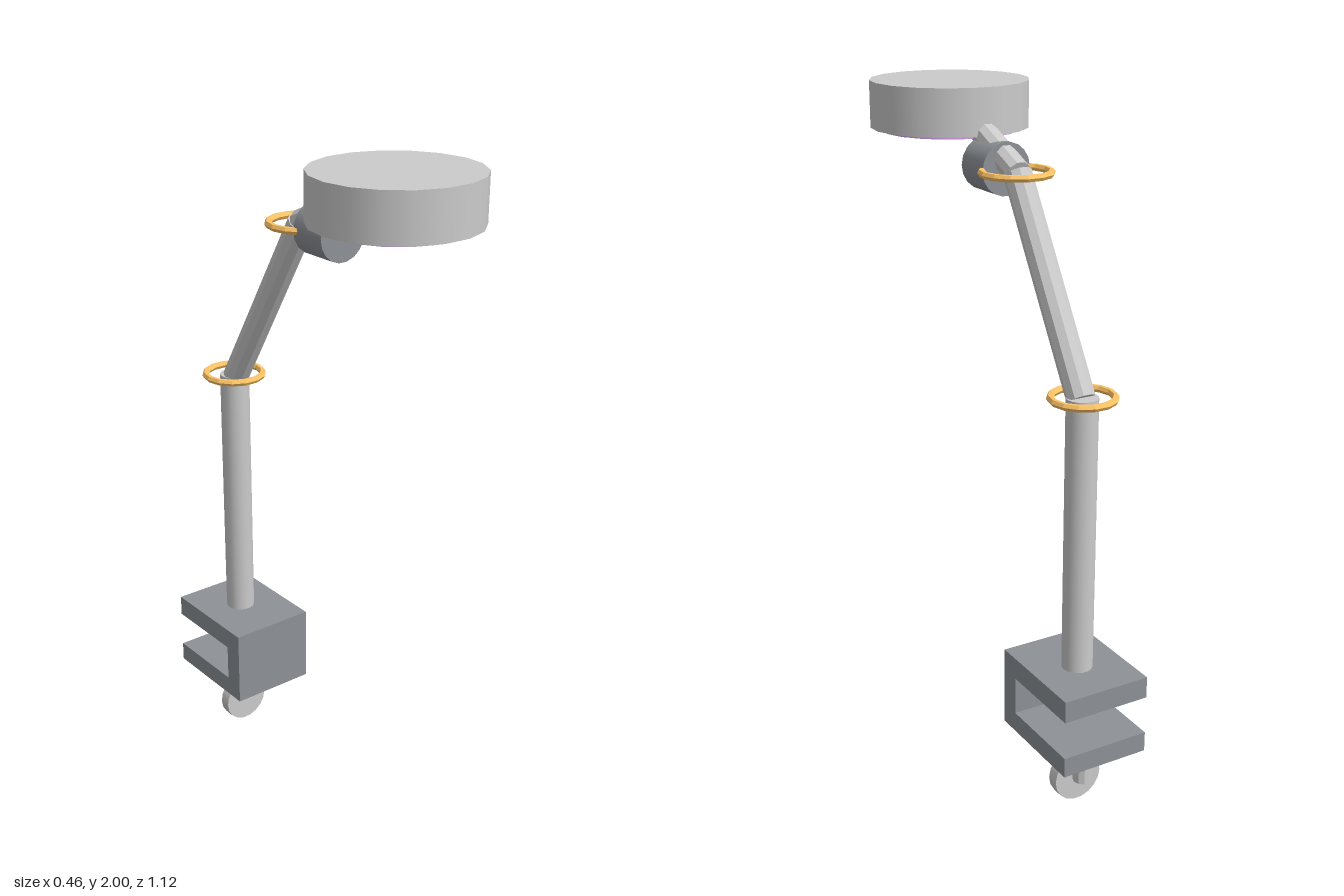
import * as THREE from 'three';

const mat = (color, flatShading = false) => new THREE.MeshStandardMaterial({ color, flatShading });
const grey = mat(0xcccccc);
const greyFlat = mat(0xcccccc, true);
const darkFlat = mat(0x8e9297, true);
const dark = mat(0x8e9297);
const gold = mat(0xffc566, true);
const violet = mat(0xd8a0f4);

export function createModel() {
  const lamp = new THREE.Group();
  lamp.name = 'clampLamp';

  const add = (name, geometry, material) => {
    const mesh = new THREE.Mesh(geometry, material);
    mesh.name = name;
    lamp.add(mesh);
    return mesh;
  };

  // Cylinder between two [y, z] points on the centre plane
  const rod = (name, from, to, radius, sides, material) => {
    const a = new THREE.Vector3(0, ...from);
    const b = new THREE.Vector3(0, ...to);
    const geometry = new THREE.CylinderGeometry(radius, radius, a.distanceTo(b), sides, 1, false, Math.PI / 2);
    const mesh = add(name, geometry, material);
    mesh.position.copy(a).add(b).multiplyScalar(0.5);
    mesh.quaternion.setFromUnitVectors(new THREE.Vector3(0, 1, 0), b.sub(a).normalize());
    return mesh;
  };

  // C-shaped table clamp, profile drawn as (-z, y) and extruded across x
  const profile = new THREE.Shape([
    [0.225, 0.2], [0.56, 0.2], [0.56, 0.26], [0.288, 0.26],
    [0.288, 0.375], [0.56, 0.375], [0.56, 0.44], [0.225, 0.44],
  ].map(([x, y]) => new THREE.Vector2(x, y)));
  const clampGeometry = new THREE.ExtrudeGeometry(profile, { depth: 0.27, bevelEnabled: false });
  clampGeometry.translate(0, 0, -0.135).rotateY(Math.PI / 2);
  add('clamp', clampGeometry, darkFlat);

  // Clamp screw with its round turning knob
  rod('clampScrew', [0.08, -0.445], [0.22, -0.445], 0.028, 10, greyFlat);
  rod('screwKnob', [0.077, -0.422], [0.077, -0.385], 0.076, 18, grey);

  // Upright post and the two arm segments
  rod('post', [0.43, -0.405], [1.25, -0.405], 0.045, 18, grey);
  rod('lowerArm', [1.244, -0.398], [1.79, -0.06], 0.04, 10, greyFlat);
  rod('upperArm', [1.788, -0.065], [1.92, 0.235], 0.037, 10, greyFlat);

  // Gold rings around the joints
  for (const [name, y, z, radius] of [['lowerRing', 1.25, -0.407, 0.088], ['upperRing', 1.79, -0.055, 0.097]]) {
    const ring = add(name, new THREE.TorusGeometry(radius, 0.0105, 6, 14).rotateX(Math.PI / 2), gold);
    ring.position.set(0, y, z);
  }

  // Swivel barrel under the head
  rod('swivelBarrel', [1.79, 0], [1.79, 0.12], 0.075, 18, dark);

  // Drum-shaped lamp head with a light disc underneath
  rod('lampHead', [1.866, 0.33], [2, 0.33], 0.232, 18, grey);
  rod('lightDisc', [1.857, 0.33], [1.87, 0.33], 0.202, 18, violet);

  return lamp;
}
